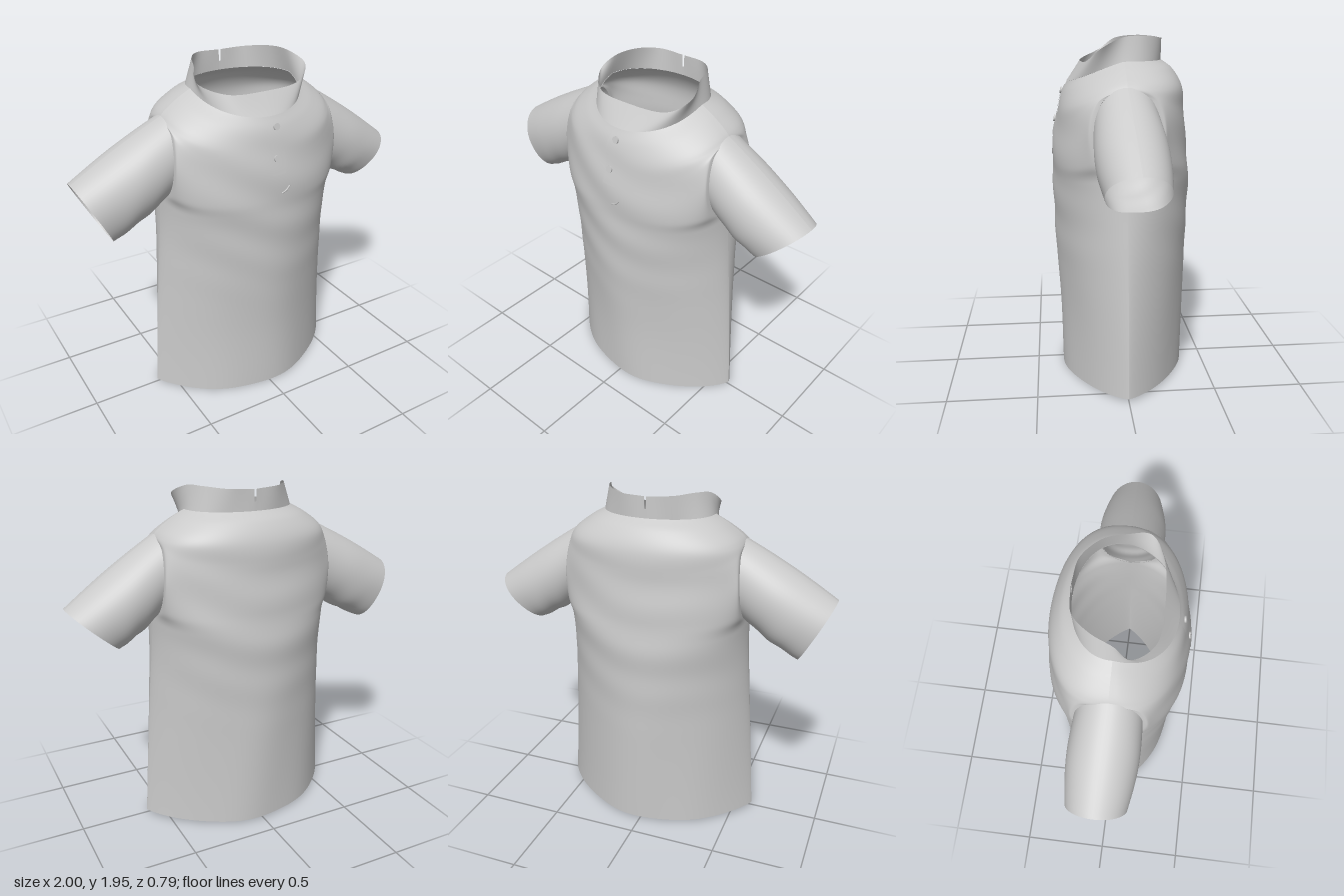
import * as THREE from 'three';

// Open smooth surface from a rule fn(u, v) -> [x, y, z], with u and v in 0..1
function sheet(fn, nu, nv) {
  const pos = [], idx = [];
  for (let j = 0; j <= nv; j++)
    for (let i = 0; i <= nu; i++) pos.push(...fn(i / nu, j / nv));
  for (let j = 0; j < nv; j++)
    for (let i = 0; i < nu; i++) {
      const a = j * (nu + 1) + i, b = a + 1, c = a + nu + 1, d = c + 1;
      idx.push(a, b, d, a, d, c);
    }
  const g = new THREE.BufferGeometry();
  g.setAttribute('position', new THREE.Float32BufferAttribute(pos, 3));
  g.setIndex(idx);
  g.computeVertexNormals();
  return g;
}

const { lerp, smoothstep } = THREE.MathUtils;
const curve = (pts) => new THREE.CatmullRomCurve3(pts.map((p) => new THREE.Vector3(...p)), false, 'catmullrom', 0.5);

// Panel outline: side seam, armhole, shoulder, neck (x, y, z)
const edge = curve([
  [0.605, 0.02, 0], [0.58, 0.4, 0], [0.55, 0.8, 0], [0.525, 1.08, 0], [0.515, 1.24, 0],
  [0.512, 1.316, 0.125], [0.505, 1.475, 0.175], [0.492, 1.634, 0.125],
  [0.487, 1.7, 0], [0.4, 1.77, 0], [0.31, 1.82, 0],
]);
// Centre lines of the front and back, matching the outline row by row
const centreFront = curve([
  [0, 0, 0.345], [0, 0.4, 0.35], [0, 0.8, 0.375], [0, 1.05, 0.384], [0, 1.18, 0.386], [0, 1.27, 0.387],
  [0, 1.37, 0.38], [0, 1.47, 0.367], [0, 1.56, 0.348], [0, 1.64, 0.325], [0, 1.7, 0.295],
]);
const centreBack = curve([
  [0, 0.01, 0.37], [0, 0.4, 0.38], [0, 0.8, 0.392], [0, 1.05, 0.4], [0, 1.19, 0.397], [0, 1.3, 0.387],
  [0, 1.43, 0.372], [0, 1.56, 0.364], [0, 1.68, 0.35], [0, 1.77, 0.3], [0, 1.82, 0.235],
]);

// Point on a body panel; side is +1 for the front and -1 for the back
function bodyPoint(side, u, v, lift = 0) {
  const e = edge.getPoint(v), c = (side > 0 ? centreFront : centreBack).getPoint(v);
  const a = (u - 0.5) * Math.PI, k = Math.max(0, Math.cos(a));
  const x = e.x * Math.sin(a) * side;
  const y = e.y + (c.y - e.y) * k;
  // lens-shaped with a sharp side seam at the hem, boxy at the chest, oval at the neck
  const power = lerp(1.7, 0.72, smoothstep(v, 0, 0.48)) + 0.15 * smoothstep(v, 0.77, 1);
  // soft cloth folds: slanting across the chest, long in the skirt
  const chest = smoothstep(y, 0.5, 1.2) * (1 - smoothstep(y, 1.5, 1.7));
  const fold = k * (0.004 * chest * Math.sin(y * 23 + x * 6 * side + 1.5 * Math.sin(x * 5 + 1))
    + 0.005 * (1 - chest) * (1 - v) * Math.sin(x * 13 + y * 2));
  const z = Math.max(0, e.z) * Math.pow(1 - k, 3) + c.z * Math.pow(k, power) + fold + lift;
  return [x, y, z * side];
}

// Top rim of the collar, once round from the back slit
const collarRim = curve([
  [-0.006, 1.935, -0.235], [-0.145, 1.943, -0.215], [-0.235, 1.948, -0.12], [-0.285, 1.93, 0],
  [-0.315, 1.865, 0.09], [-0.2, 1.818, 0.2], [0, 1.81, 0.218], [0.23, 1.82, 0.195],
  [0.335, 1.89, 0.12], [0.295, 1.945, 0], [0.25, 1.95, -0.12], [0.145, 1.94, -0.215], [0.006, 1.935, -0.235],
]);

export function createModel() {
  const group = new THREE.Group();
  const cloth = new THREE.MeshStandardMaterial({ color: 0xcacaca, side: THREE.DoubleSide });
  cloth.name = 'light grey cloth';
  const add = (name, geometry) => {
    const m = new THREE.Mesh(geometry, cloth);
    m.name = name;
    group.add(m);
    return m;
  };

  // Body panels
  add('frontPanel', sheet((u, v) => bodyPoint(1, u, v), 64, 100));
  add('backPanel', sheet((u, v) => bodyPoint(-1, u, v), 64, 100));

  // Sleeves: lofted from the armhole to a slanted cuff, boxier underneath
  const sleeve = (name, s, top, bottom) => add(name, sheet((u, t) => {
    const f = u * Math.PI * 2 * s, cy = Math.cos(f), sy = Math.sin(f), w = (1 + cy) / 2;
    const bulge = Math.sin(t * Math.PI);
    const x0 = 0.512 - 0.025 * w, y0 = 1.475 + 0.225 * cy;
    const x1 = lerp(bottom[0], top[0], w), y1 = lerp(bottom[1], top[1], w);
    const wrinkle = 0.005 * bulge * Math.sin(t * 12 + f * 2) * (1 - w);
    const square = cy < 0 ? 1 - 0.35 * t : 1;
    const x = x0 + (x1 - x0) * t;
    const y = y0 + (y1 - y0) * t + bulge * 0.01 * cy + wrinkle;
    const z = Math.sign(sy) * Math.pow(Math.abs(sy), square) * (0.175 - 0.012 * t + 0.018 * bulge);
    return [s * x, y, s * z - 0.015 * t];
  }, 48, 20));
  sleeve('leftSleeve', 1, [1.0, 1.35], [0.735, 1.115]);
  sleeve('rightSleeve', -1, [1.0, 1.415], [0.82, 1.075]);

  // Stand-up collar rising from the neckline, low and leaning inward in front
  add('collar', sheet((u, v) => {
    const f = (u - 0.5) * (Math.PI * 2 - 0.035);
    const c = Math.cos(f), front = Math.max(0, c), top = collarRim.getPoint(u);
    const z0 = Math.sign(c) * Math.pow(Math.abs(c), 0.87) * (c > 0 ? 0.298 : 0.235);
    return [lerp(0.313 * Math.sin(f), top.x, v), lerp(1.82 - 0.12 * front, top.y, v), lerp(z0, top.z, v)];
  }, 96, 6));
  // Joined foot of the collar below the slit
  add('collarFoot', sheet((u, v) => [0.012 * (0.5 - u), 1.82 + 0.05 * v, -0.234], 1, 1));

  // Button placket lying on the front panel
  add('placket', sheet((u, v) => bodyPoint(1, 0.475 + 0.055 * u + 0.006 * Math.sin(v * 7), 0.63 + 0.34 * v, 0.004), 4, 24));

  // Buttons
  [[0.02, 0.915], [0.0, 0.72]].forEach(([x, v], i) => {
    const button = add('button' + (i + 1), new THREE.CylinderGeometry(0.019, 0.019, 0.009, 20));
    button.position.set(...bodyPoint(1, 0.5 + x / (0.48 * Math.PI), v, 0.01));
    button.rotation.x = Math.PI / 2 - 0.2;
  });

  // Stitched slash below the placket
  const slash = curve([[0.025, 1.29, 0.385], [0.05, 1.3, 0.385], [0.075, 1.325, 0.383]]);
  add('slash', new THREE.TubeGeometry(slash, 8, 0.005, 6));

  return group;
}
